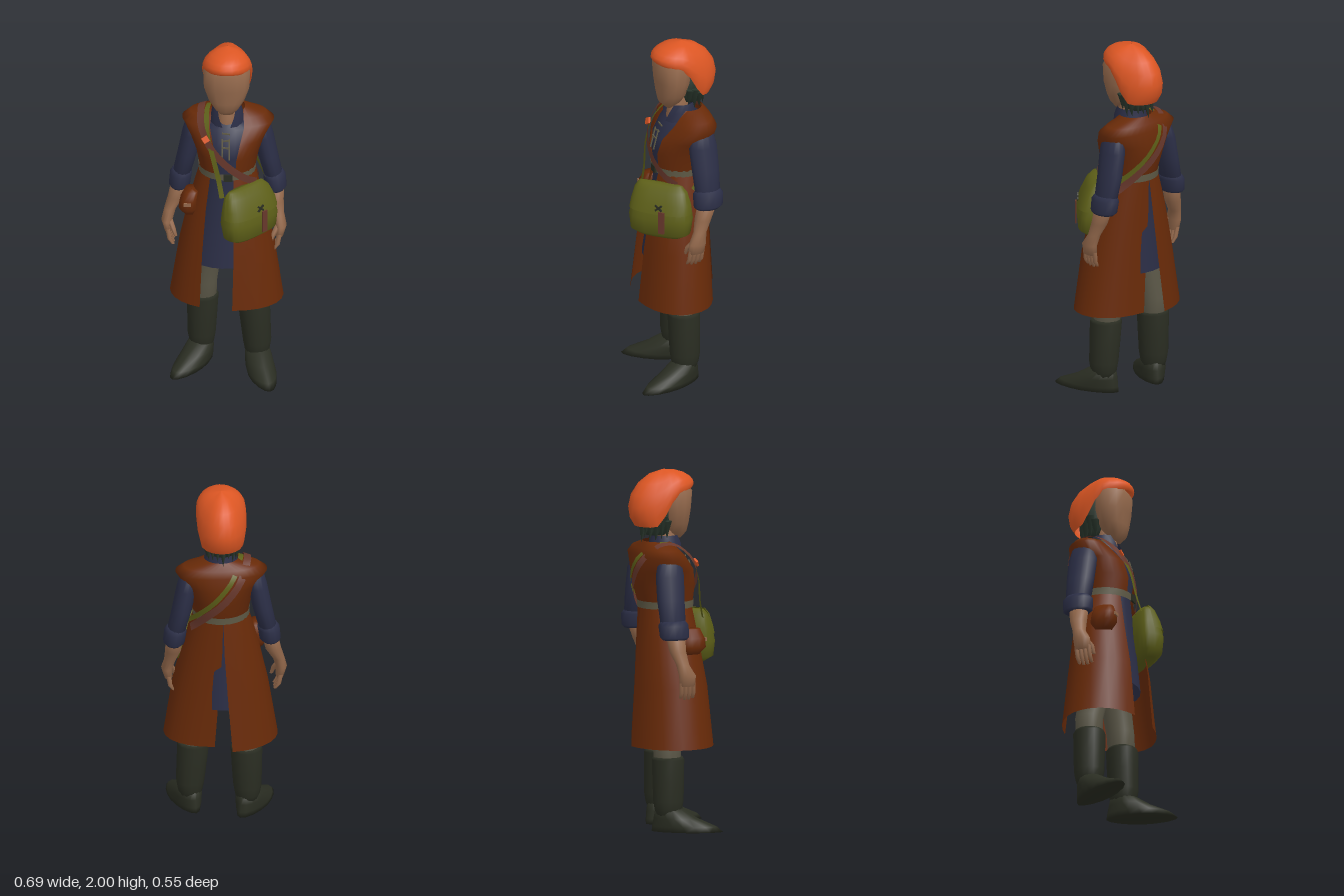
import * as THREE from 'three';

const mat = (name, color) => new THREE.MeshStandardMaterial({ name, color, side: THREE.DoubleSide });

// Horizontal ring; angle 0 is the front, growing towards +x. p < 1 squares it off, p > 1 points it.
function ring([x, y, z, rx, rz], n = 16, a0 = 0, a1 = Math.PI * 2, p = 1) {
  const f = v => Math.sign(v) * Math.abs(v) ** p;
  return Array.from({ length: n + 1 }, (_, i) => {
    const a = a0 + (a1 - a0) * i / n;
    return [x + rx * f(Math.sin(a)), y, z + rz * f(Math.cos(a))];
  });
}

// Skin over rows of points, listed from the bottom up
function loft(rows, closed = false) {
  const w = closed ? rows[0].length - 1 : rows[0].length;
  const pos = rows.flatMap(r => r.slice(0, w)).flat();
  const idx = [];
  for (let i = 0; i < rows.length - 1; i++) {
    for (let j = 0; j < (closed ? w : w - 1); j++) {
      const k = (j + 1) % w, a = i * w + j, b = i * w + k;
      idx.push(a, b, b + w, a, b + w, a + w);
    }
  }
  const g = new THREE.BufferGeometry();
  g.setAttribute('position', new THREE.Float32BufferAttribute(pos, 3));
  g.setIndex(idx);
  g.computeVertexNormals();
  return g;
}

// Closed body from [x, y, z, rx, rz] sections, optionally capped
function body(sections, { n = 14, p = 1, cap = true } = {}) {
  const s = sections.slice();
  if (cap) {
    const end = c => [c[0], c[1], c[2], 0.0005, 0.0005];
    s.unshift(end(s[0]));
    s.push(end(s[s.length - 1]));
  }
  return loft(s.map(c => ring(c, n, 0, Math.PI * 2, p)), true);
}

// Flat band along a path, lying against the torso
function ribbon(points, width) {
  const curve = new THREE.CatmullRomCurve3(points.map(p => new THREE.Vector3(...p)));
  const rows = [];
  for (let i = 0; i <= 28; i++) {
    const c = curve.getPoint(i / 28), t = curve.getTangent(i / 28);
    const out = new THREE.Vector3(c.x * 0.5, Math.max(0, c.y - 1.5) * 2, c.z + 0.08).normalize();
    const side = new THREE.Vector3().crossVectors(t, out).setLength(width / 2);
    rows.push([c.clone().sub(side).toArray(), c.clone().add(side).toArray()]);
  }
  return loft(rows);
}

export function createModel() {
  const model = new THREE.Group();
  const M = {
    cap: mat('orange cap', 0xdc5623), skin: mat('skin', 0x94694c), hair: mat('dark hair', 0x28352b),
    coat: mat('brown coat', 0x682a08), shirt: mat('navy shirt', 0x2b2e46), bag: mat('olive bag', 0x5d5f18),
    strap: mat('red leather', 0x68382c), belt: mat('belt grey', 0x5f5a46), legs: mat('trouser grey', 0x5c5848),
    boot: mat('dark boot', 0x2a2d22),
  };
  const add = (name, geo, m, parent = model) => {
    const o = new THREE.Mesh(geo, m);
    o.name = name;
    parent.add(o);
    return o;
  };
  const box = (name, m, size, at, parent) => {
    const o = add(name, new THREE.BoxGeometry(...size), m, parent);
    o.position.set(...at);
    return o;
  };
  const X = 0.017;   // the body leans slightly to its left

  // Head and neck
  add('face', body([
    [X, 1.615, 0.012, 0.035, 0.015], [X, 1.65, 0.0, 0.068, 0.062], [X, 1.7, -0.01, 0.1, 0.08],
    [X, 1.78, -0.015, 0.128, 0.094], [X, 1.88, -0.02, 0.132, 0.108], [X, 1.93, -0.04, 0.1, 0.09]], { p: 0.9 }), M.skin);
  add('neck', body([[X, 1.47, -0.04, 0.06, 0.06], [X, 1.55, -0.045, 0.056, 0.06], [X, 1.7, -0.06, 0.055, 0.055]]), M.skin);

  // Cap: level rim over the brow, dropping behind the temples to the nape
  const capRows = [[0, 0.95], [0.15, 1.01], [0.35, 0.99], [0.57, 0.89], [0.77, 0.7], [0.92, 0.42], [1, 0.01]].map(([t, r]) =>
    ring([X, 0, -0.07, 0.138 * r, 0.172 * r], 24).map(([x, , z], i) => {
      const c = Math.cos(i / 24 * Math.PI * 2);
      const rim = 1.69 + 0.17 * THREE.MathUtils.smoothstep(c, -0.6, 0.25) + 0.04 * Math.max(0, c);
      return [x, rim + (2 - rim) * t, z + 0.14 * Math.min(0, c) * t * (1 - t)];
    }));
  add('cap', loft(capRows, true), M.cap);

  // Hair below the cap
  add('hair', body([[X, 1.64, -0.12, 0.065, 0.06], [X, 1.7, -0.115, 0.09, 0.085], [X, 1.84, -0.1, 0.118, 0.09]]), M.hair);
  for (let i = 0; i < 11; i++) {
    const a = Math.PI * (0.42 + 1.16 * i / 10);
    const lock = add('hairLock', new THREE.ConeGeometry(0.028, 0.1 + 0.03 * (i % 2), 5), M.hair);
    lock.position.set(X + 0.088 * Math.sin(a), 1.685 - 0.012 * (i % 3), -0.105 + 0.085 * Math.cos(a));
    lock.rotation.set(Math.PI - 0.2 * Math.cos(a), 0, 0.1 * Math.sin(a));
  }

  // Shirt, collar and lacing
  add('shirt', body([
    [0, 0.7, -0.04, 0.2, 0.18], [X, 1.0, -0.05, 0.17, 0.155], [X, 1.25, -0.06, 0.13, 0.14], [X, 1.37, -0.065, 0.155, 0.162],
    [X, 1.44, -0.07, 0.165, 0.157], [X, 1.52, -0.09, 0.17, 0.127], [X, 1.555, -0.08, 0.08, 0.085]], { n: 20, cap: false }), M.shirt);
  add('collar', loft([[X, 1.535, -0.065, 0.098, 0.1], [X, 1.59, -0.06, 0.09, 0.088], [X, 1.635, -0.065, 0.075, 0.078]]
    .map((s, i) => ring(s, 14, 0.22 + 0.26 * i, Math.PI * 2 - 0.22 - 0.26 * i))), M.shirt);
  for (let i = 0; i < 3; i++) {
    box('lace', M.belt, [0.045, 0.008, 0.006], [X, 1.44 + 0.035 * i, 0.091 - 0.018 * i]).rotation.z = i % 2 ? 0.15 : -0.1;
  }
  for (const s of [-1, 1]) {
    box('laceEnd', M.belt, [0.008, 0.12, 0.006], [X + s * 0.02, 1.43, 0.09]).rotation.x = -0.25;
  }

  // Vest with flared shoulders and an open front
  add('vest', loft([
    [0.02, 1.24, -0.055, 0.15, 0.148, 0.33, 1], [0.02, 1.36, -0.065, 0.174, 0.172, 0.32, 1], [0.02, 1.45, -0.078, 0.208, 0.163, 0.33, 0.92],
    [0.02, 1.53, -0.108, 0.254, 0.125, 0.32, 0.85], [0.02, 1.568, -0.115, 0.21, 0.1, 0.4, 0.9], [0.02, 1.605, -0.1, 0.095, 0.085, 1.1, 1]]
    .map(s => ring(s, 30, s[5], Math.PI * 2 - s[5], s[6]))), M.coat);

  // Coat skirt: two halves, open in front and vented behind, the right one swung back
  const vent = [0.13, 0.07, 0.02, 0];
  add('skirtLeft', loft([[X, 0.47, -0.005, 0.315, 0.21], [X, 0.8, -0.015, 0.265, 0.19], [X, 1.05, -0.035, 0.208, 0.17], [X, 1.26, -0.06, 0.15, 0.144]]
    .map((s, i) => ring(s, 12, 0.11 + 0.047 * i, Math.PI - vent[i], 0.92))), M.coat);
  add('skirtRight', loft([[X, 0.47, -0.045, 0.315, 0.238], [X, 0.8, -0.045, 0.262, 0.208], [X, 1.05, -0.055, 0.208, 0.175], [X, 1.26, -0.06, 0.15, 0.144]]
    .map((s, i) => ring(s, 12, -Math.PI + vent[i], -0.44 - 0.047 * i, 0.95))), M.coat);

  // Belt, buckle and hip pouch
  add('belt', body([[X, 1.235, -0.058, 0.158, 0.155], [X, 1.275, -0.058, 0.16, 0.158]], { n: 24, cap: false }), M.belt);
  box('beltBuckle', M.boot, [0.05, 0.04, 0.012], [0.03, 1.255, 0.1]);
  add('pouch', body([
    [-0.185, 0.99, 0.01, 0.035, 0.045], [-0.195, 1.03, 0.015, 0.052, 0.075],
    [-0.19, 1.08, 0.015, 0.048, 0.07], [-0.175, 1.13, 0.01, 0.038, 0.055]], { p: 0.8 }), M.coat);
  box('pouchToggle', M.skin, [0.04, 0.018, 0.01], [-0.195, 1.07, 0.088]);

  // Arms
  for (const s of [1, -1]) {
    const arm = new THREE.Group();
    arm.name = s > 0 ? 'leftArm' : 'rightArm';
    model.add(arm);
    const dz = s > 0 ? 0 : -0.03;
    const at = rows => rows.map(([x, y, z, rx, rz, off = X]) => [off + s * x, y, z, rx, rz]);
    add('sleeve', body(at([[0.258, 1.15, -0.12, 0.05, 0.072], [0.222, 1.3, -0.12, 0.055, 0.08],
      [0.197, 1.43, -0.115, 0.055, 0.083], [0.18, 1.53, -0.11, 0.045, 0.065]])), M.shirt, arm);
    add('cuff', body(at([[0.268, 1.085, -0.115, 0.048, 0.07], [0.266, 1.1, -0.117, 0.06, 0.085],
      [0.258, 1.165, -0.12, 0.062, 0.088], [0.252, 1.19, -0.12, 0.05, 0.07]])), M.shirt, arm);
    add('forearm', body(at([[0.307, 0.83, -0.035 + dz, 0.022, 0.046, 0], [0.316, 0.89, -0.038 + dz, 0.031, 0.05, 0],
      [0.3, 0.95, -0.06 + dz, 0.033, 0.037, 0], [0.277, 1.02, -0.085 + dz * 0.7, 0.044, 0.047, 0.008], [0.266, 1.11, -0.112, 0.046, 0.055]])), M.skin, arm);
    for (let i = 0; i < 4; i++) {
      const z = -0.072 + 0.024 * i + dz, tip = 0.748 + 0.008 * Math.abs(i - 1.5);
      add('finger', body(at([[0.28, tip, z + 0.008, 0.009, 0.009, 0], [0.3, 0.79, z + 0.004, 0.013, 0.0125, 0],
        [0.31, 0.85, z, 0.014, 0.013, 0]]), { n: 6 }), M.skin, arm);
    }
    add('thumb', body(at([[0.265, 0.815, 0.014 + dz, 0.01, 0.01, 0], [0.28, 0.86, 0.006 + dz, 0.015, 0.015, 0],
      [0.305, 0.91, -0.03 + dz, 0.017, 0.017, 0]]), { n: 6 }), M.skin, arm);
  }

  // Legs and boots: ankle x, knee x, hip x, z, foot yaw
  for (const [name, ax, kx, hx, z, yaw] of [['left', 0.185, 0.168, 0.1, -0.02, 0.29], ['right', -0.125, -0.12, -0.065, -0.1, -0.52]]) {
    add(name + 'Trouser', body([[kx, 0.33, z, 0.075, 0.075], [kx * 0.93, 0.5, z - 0.005, 0.073, 0.078],
      [(kx + hx) / 2, 0.65, (z - 0.06) / 2, 0.075, 0.085], [hx, 0.9, -0.06, 0.085, 0.1]]), M.legs);
    add(name + 'Boot', body([[ax, 0.07, z, 0.055, 0.06], [ax, 0.12, z, 0.07, 0.077], [ax, 0.17, z, 0.079, 0.085],
      [(ax + kx) / 2, 0.28, z, 0.084, 0.088], [kx, 0.4, z, 0.089, 0.09], [kx, 0.415, z, 0.082, 0.082]]), M.boot);
    const foot = add(name + 'Foot', body([[0, 0, 0.105, 0.074, 0.198], [0, 0.03, 0.09, 0.08, 0.18],
      [0, 0.075, 0.04, 0.076, 0.122], [0, 0.13, 0, 0.064, 0.072]], { n: 16, p: 1.12 }), M.boot);
    foot.position.set(ax, 0, z);
    foot.rotation.y = yaw;
  }

  // Satchel turned to the left hip, fuller at the bottom
  const bag = new THREE.Group();
  bag.name = 'satchel';
  bag.position.set(0.14, 0, 0.1);
  bag.rotation.set(0, Math.PI / 4, 0);
  model.add(bag);
  add('bagBody', body([[0, 0.905, 0.015, 0.12, 0.04], [0, 0.935, 0.015, 0.17, 0.075], [0, 1.02, 0.01, 0.18, 0.088],
    [0, 1.1, 0.002, 0.168, 0.075], [-0.005, 1.17, -0.01, 0.148, 0.05], [-0.01, 1.2, -0.015, 0.12, 0.025]], { n: 24, p: 0.7 }), M.bag, bag);
  add('bagFlap', loft([[0, 1.06, 0.006, 0.18, 0.09], [0, 1.11, 0, 0.173, 0.08], [-0.005, 1.175, -0.01, 0.153, 0.057], [-0.01, 1.205, -0.015, 0.127, 0.032], [-0.01, 1.208, -0.015, 0.12, 0]]
    .map(s => ring(s, 16, -Math.PI / 2, Math.PI / 2, 0.7))), M.bag, bag);
  box('bagStrap', M.strap, [0.035, 0.13, 0.008], [0.035, 1.015, 0.1], bag);
  for (const r of [0.7, -0.7]) {
    box('bagClasp', M.boot, [0.05, 0.01, 0.008], [0.015, 1.098, 0.09], bag).rotation.z = r;
  }

  // Shoulder straps, front to back, and a bright charm on the chest
  add('leatherStrap', ribbon([[0.18, 1.2, 0.03], [0.12, 1.25, 0.085], [0.03, 1.33, 0.113], [-0.06, 1.43, 0.1], [-0.12, 1.53, 0.03],
    [-0.128, 1.595, -0.06], [-0.12, 1.595, -0.15], [-0.07, 1.5, -0.243], [0.02, 1.38, -0.25], [0.11, 1.28, -0.2], [0.19, 1.17, -0.1]], 0.042), M.strap);
  add('bagSling', ribbon([[0.0, 1.16, 0.16], [-0.02, 1.26, 0.135], [-0.05, 1.38, 0.115], [-0.085, 1.5, 0.06],
    [-0.095, 1.59, -0.05], [-0.08, 1.6, -0.14], [-0.03, 1.52, -0.243], [0.06, 1.4, -0.247], [0.15, 1.29, -0.18], [0.23, 1.18, -0.05]], 0.028), M.bag);
  box('charm', M.cap, [0.035, 0.035, 0.012], [-0.095, 1.485, 0.08]).rotation.set(-0.4, 0, 0.6);

  return model;
}
